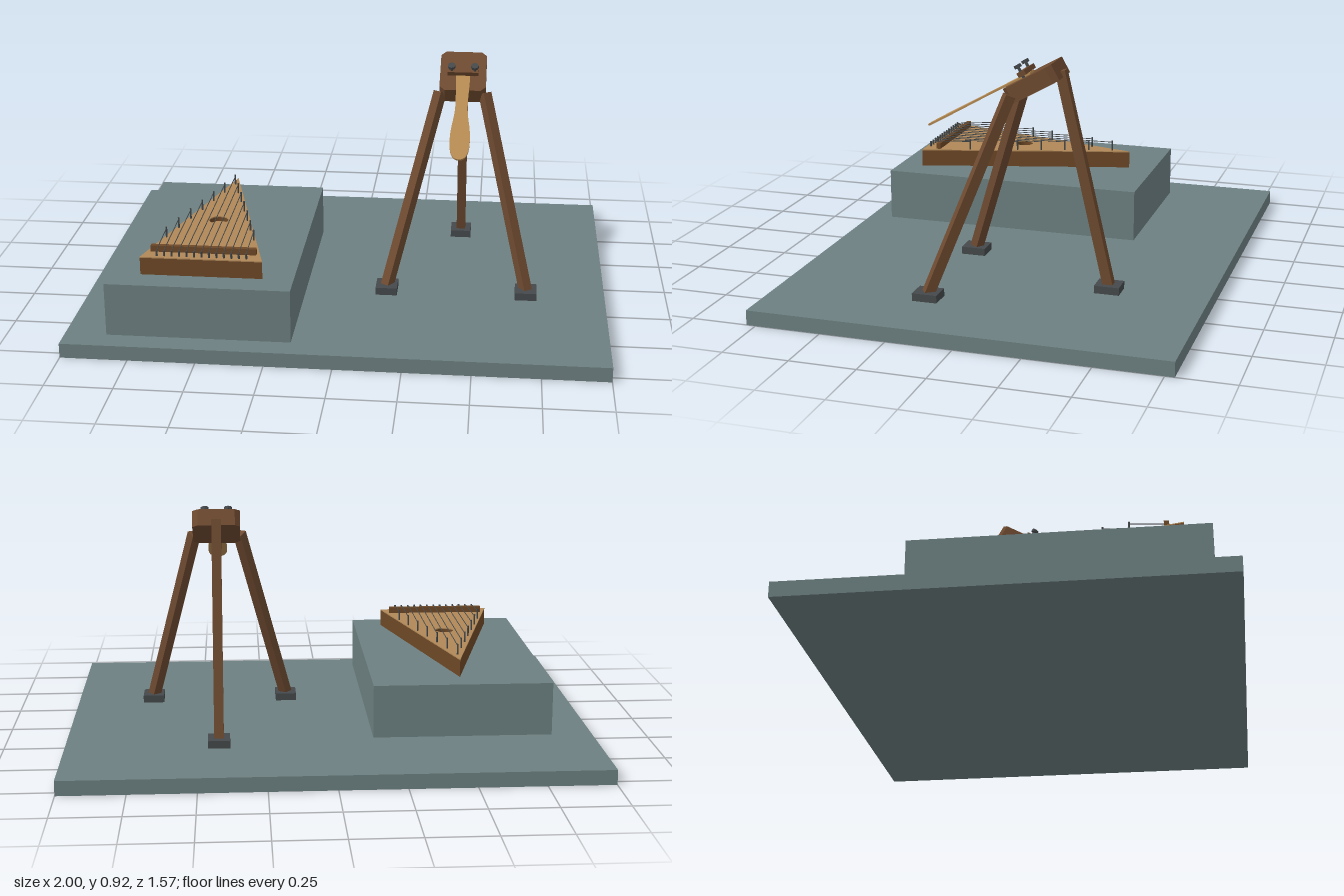
import * as THREE from 'three';

const mat = (color) => new THREE.MeshStandardMaterial({ color, flatShading: true });
const stone = mat(0x6c7f80), darkWood = mat(0x6e4a30), bodyWood = mat(0x6e4826);
const boardWood = mat(0xb08858), reedWood = mat(0xb58a52), metal = mat(0x45494b);
const V = (x, y, z) => new THREE.Vector3(x, y, z);

function add(parent, name, geo, material, x = 0, y = 0, z = 0) {
  const m = new THREE.Mesh(geo, material);
  m.name = name;
  m.position.set(x, y, z);
  parent.add(m);
  return m;
}
const box = (w, h, d) => new THREE.BoxGeometry(w, h, d);

// Plan outline (x, z) raised upward by a height
function slab(shape, height) {
  return new THREE.ExtrudeGeometry(shape, { depth: height, bevelEnabled: false, curveSegments: 16 })
    .rotateX(-Math.PI / 2);
}
const plan = (pts) => new THREE.Shape(pts.map(([x, z]) => new THREE.Vector2(x, -z)));

// Thin round bar between two points
function rod(parent, name, a, b, r, material) {
  const m = add(parent, name, new THREE.CylinderGeometry(r, r, a.distanceTo(b), 6), material);
  m.position.copy(a).add(b).multiplyScalar(0.5);
  m.quaternion.setFromUnitVectors(V(0, 1, 0), b.clone().sub(a).normalize());
  return m;
}

function zither() {
  const g = new THREE.Group();
  g.name = 'zither';
  g.position.set(-0.5025, 0.26, 0);
  const outline = () => {
    const s = plan([[-0.2275, 0.595], [0.2275, 0.595], [0, -0.255]]);
    s.holes.push(new THREE.Path().absarc(0, -0.21, 0.037, 0, Math.PI * 2, true));
    return s;
  };
  add(g, 'soundBox', slab(outline(), 0.066), bodyWood);
  add(g, 'soundBoard', slab(outline(), 0.004), boardWood, 0, 0.066);
  add(g, 'soundHoleFloor', new THREE.CylinderGeometry(0.037, 0.037, 0.01, 24), boardWood, 0, 0.045, 0.21);
  add(g, 'bridge', box(0.395, 0.024, 0.018), bodyWood, 0, 0.082, 0.533);

  // Strings run from the tuning pins over the bridge to pins along both sides
  for (let i = -6; i <= 6; i++) {
    const x = i * 0.0278, zEnd = -0.18 + Math.abs(i) * 0.0967;
    rod(g, 'tuningPin', V(x, 0.066, 0.578), V(x, 0.092, 0.578), 0.004, metal);
    rod(g, 'hitchPin', V(x, 0.066, zEnd), V(x, 0.112, zEnd), 0.0035, metal);
    rod(g, 'stringTail', V(x, 0.086, 0.578), V(x, 0.096, 0.533), 0.0017, metal);
    rod(g, 'string', V(x, 0.096, 0.533), V(x, 0.105, zEnd), 0.0017, metal);
  }
  return g;
}

// Square post aligned with its own direction of lean
function leg(parent, foot, top) {
  const d = top.clone().sub(foot);
  const up = d.clone().normalize();
  const side = V(-d.z, 0, d.x).normalize();
  const m = add(parent, 'leg', box(0.036, d.length(), 0.038), darkWood);
  m.position.copy(foot).add(top).multiplyScalar(0.5);
  m.quaternion.setFromRotationMatrix(new THREE.Matrix4().makeBasis(side, up, side.clone().cross(up)));
  add(parent, 'foot', box(0.083, 0.03, 0.095), metal, foot.x, 0.07, foot.z);
}

function stand() {
  const g = new THREE.Group();
  g.name = 'tripod';
  g.position.x = 0.425;
  for (const s of [-1, 1]) leg(g, V(s * 0.27, 0.075, 0.203), V(s * 0.087, 0.795, -0.053));
  leg(g, V(0, 0.075, -0.41), V(0, 0.88, -0.222));

  // Sloping head block with clipped corners
  const head = new THREE.Group();
  head.name = 'head';
  head.position.set(0, 0.836, -0.129);
  head.rotation.x = 0.515;
  g.add(head);
  const w = 0.09, l = 0.104, c = 0.02;
  add(head, 'headBlock', slab(plan([
    [-w, l - c], [-w + c, l], [w - c, l], [w, l - c],
    [w, -l + c], [w - c, -l], [-w + c, -l], [-w, -l + c]]), 0.064), darkWood, 0, -0.032);

  // Paddle-shaped tongue clamped on the block
  const t = new THREE.Shape();
  t.moveTo(-0.028, 0);
  t.lineTo(0.028, 0);
  t.bezierCurveTo(0.028, -0.1, 0.022, -0.14, 0.024, -0.2);
  t.bezierCurveTo(0.026, -0.27, 0.038, -0.29, 0.038, -0.37);
  t.bezierCurveTo(0.038, -0.42, 0.03, -0.463, 0, -0.463);
  t.bezierCurveTo(-0.03, -0.463, -0.038, -0.42, -0.038, -0.37);
  t.bezierCurveTo(-0.038, -0.29, -0.026, -0.27, -0.024, -0.2);
  t.bezierCurveTo(-0.022, -0.14, -0.028, -0.1, -0.028, 0);
  add(head, 'tongue', slab(t, 0.007), reedWood, 0, 0.032);

  // Clamp bar held by two bolts
  add(head, 'clampBar', box(0.12, 0.018, 0.032), darkWood, 0, 0.049, 0.017);
  for (const s of [-1, 1]) {
    rod(head, 'boltShank', V(s * 0.045, 0.03, 0.021), V(s * 0.045, 0.078, 0.021), 0.006, metal);
    add(head, 'boltHead', new THREE.CylinderGeometry(0.015, 0.015, 0.012, 8), metal, s * 0.045, 0.079, 0.021);
  }
  return g;
}

export function createModel() {
  const model = new THREE.Group();
  model.name = 'instrumentDisplay';
  add(model, 'base', box(2, 0.056, 1.57), stone, 0, 0.028);
  add(model, 'plinth', box(0.685, 0.205, 1.055), stone, -0.5025, 0.1575, 0.167);
  model.add(zither(), stand());
  return model;
}
